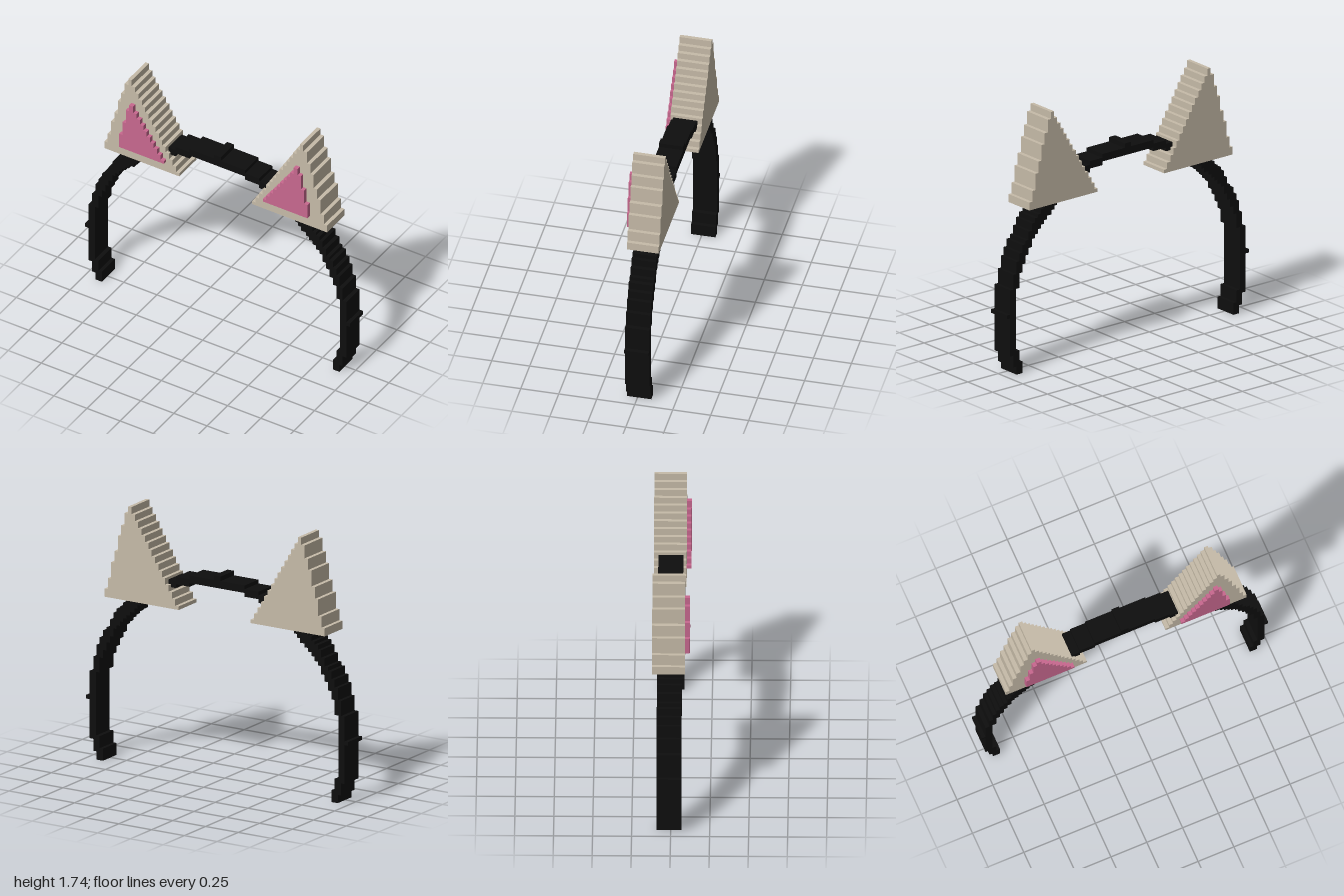
import * as THREE from 'three';

const U = 0.0257; // width of one step

// Turns [x, yEnd] pairs into a staircase that climbs at each x.
function stairs(steps, yStart) {
  const pts = [];
  let y = yStart;
  for (const [x, yEnd] of steps) {
    pts.push([x, y], [x, yEnd]);
    y = yEnd;
  }
  return pts;
}

// Extrudes an outline from z0 to z1; sx = -1 mirrors it.
function slab(name, pts, z0, z1, material, sx = 1) {
  const shape = new THREE.Shape(pts.map(([x, y]) => new THREE.Vector2(sx * x, y)));
  const geo = new THREE.ExtrudeGeometry(shape, { depth: z1 - z0, bevelEnabled: false });
  geo.translate(0, 0, z0);
  const mesh = new THREE.Mesh(geo, material);
  mesh.name = name;
  return mesh;
}

// Stepped triangle: listed outer steps, then an even stair down to the inner corner.
function earOutline(base, outer, apexInner, count, topStart, drop) {
  const pts = stairs(outer, base);
  let y = outer[outer.length - 1][1];
  for (let k = 0; k <= count; k++) {
    const x = apexInner - k * U;
    const next = k === count ? base : topStart - k * drop;
    pts.push([x, y], [x, next]);
    y = next;
  }
  return pts;
}

export function createModel() {
  const black = new THREE.MeshStandardMaterial({ color: 0x0e0e0e });
  black.name = 'black';
  const beige = new THREE.MeshStandardMaterial({ color: 0xc6bba8 });
  beige.name = 'beige';
  const pink = new THREE.MeshStandardMaterial({ color: 0xc8688f });
  pink.name = 'pink';

  const model = new THREE.Group();
  model.name = 'catEarHeadband';

  // Headband: stepped arch, one half of each edge, mirrored
  const outer = stairs([
    [0.92, 0.055], [0.945, 0.135], [0.973, 0.395], [1, 0.42], [0.973, 0.585],
    [0.945, 0.685], [0.92, 0.767], [0.897, 0.82], [0.872, 0.87], [0.845, 0.895],
    [0.82, 0.95], [0.793, 1.0], [0.77, 1.03], [0.743, 1.05], [0.718, 1.08],
    [0.692, 1.105], [0.65, 1.135], [0.59, 1.17], [0.48, 1.24], [0.37, 1.29],
    [0.315, 1.315], [0.21, 1.34], [0.026, 1.37],
  ], 0);
  const inner = stairs([
    [0.872, 0.08], [0.897, 0.16], [0.925, 0.585], [0.897, 0.685], [0.872, 0.74],
    [0.845, 0.795], [0.82, 0.84], [0.793, 0.895], [0.77, 0.92], [0.743, 0.95],
    [0.718, 0.975], [0.692, 1.0], [0.667, 1.025], [0.63, 1.055], [0.607, 1.08],
    [0.585, 1.11], [0.48, 1.17], [0.37, 1.24], [0.315, 1.265], [0.21, 1.29],
  ], 0);
  const mirror = (pts) => pts.map(([x, y]) => [-x, y]).reverse();
  const arch = [...outer, ...mirror(outer), ...mirror(inner).reverse(), ...[...inner].reverse()];
  model.add(slab('headband', arch, -0.09, 0.07, black));

  // Ears and their raised inner patches
  const ear = earOutline(1.107, [
    [0.84, 1.161], [0.815, 1.235], [0.79, 1.346], [0.765, 1.424],
    [0.738, 1.53], [0.713, 1.604], [0.687, 1.69], [0.66, 1.737],
  ], 0.635, 14, 1.69, 0.043);
  const patch = earOutline(1.188, [
    [0.71, 1.295], [0.685, 1.4], [0.66, 1.507], [0.635, 1.555],
  ], 0.605, 9, 1.505, 0.037);
  for (const [side, sx] of [['left', 1], ['right', -1]]) {
    const group = new THREE.Group();
    group.name = side + 'Ear';
    group.add(slab('earShell', ear, -0.12, 0.09, beige, sx));
    group.add(slab('innerEar', patch, 0.09, 0.12, pink, sx));
    model.add(group);
  }
  return model;
}
